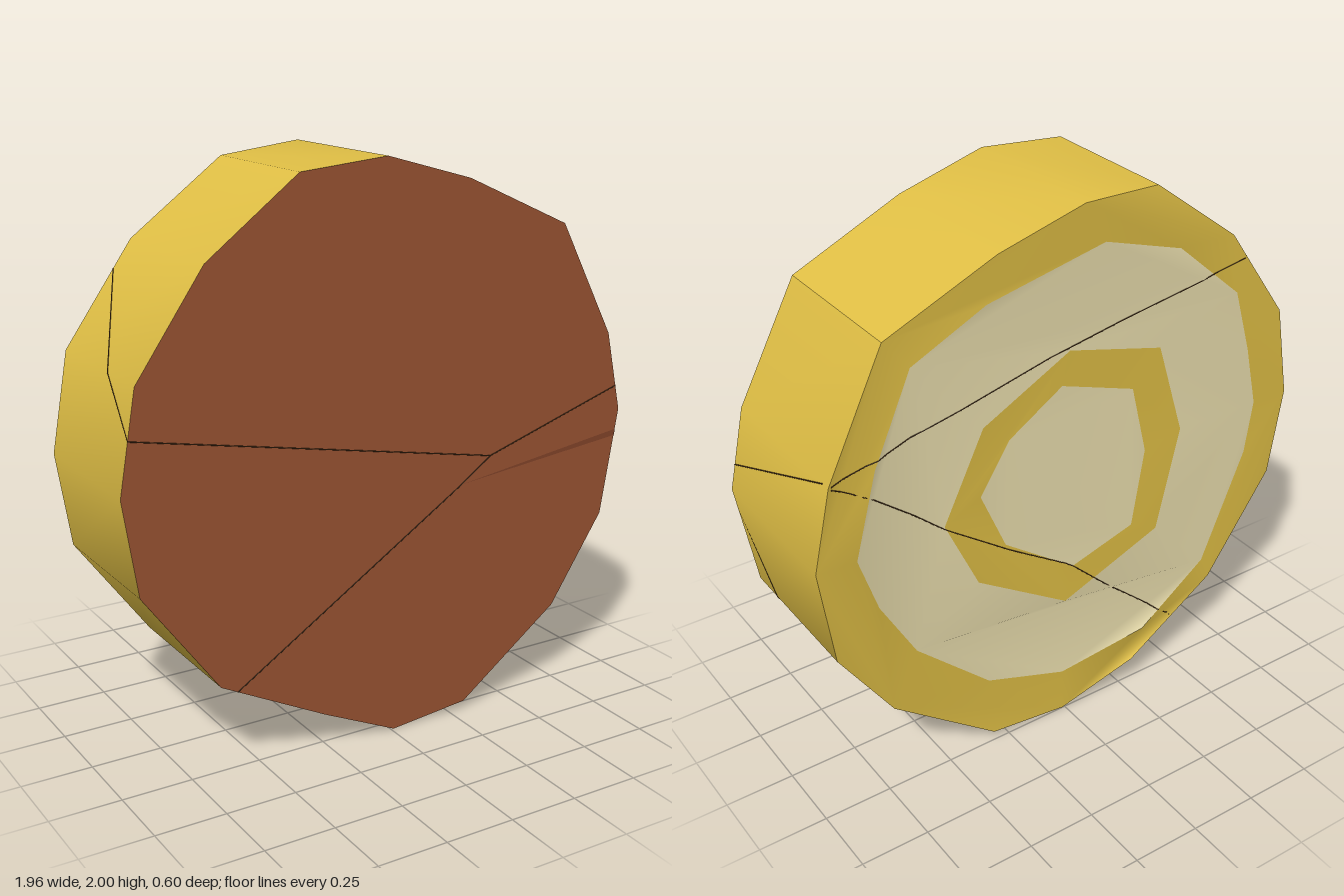
import * as THREE from 'three';
import { toCreasedNormals } from 'three/addons/utils/BufferGeometryUtils.js';

const FRONT = 0.3;

// Outer outline with the depth of the uneven back edge: x, y, back z
const outline = [
  [-0.03, 2.0, -0.277], [0.29, 1.91, -0.27], [0.69, 1.73, -0.258], [0.91, 1.32, -0.285],
  [0.975, 1.03, -0.285], [0.91, 0.64, -0.25], [0.7, 0.32, -0.225], [0.31, 0.03, -0.245],
  [0.01, 0.0, -0.25], [-0.27, 0.13, -0.297], [-0.66, 0.33, -0.26], [-0.93, 0.7, -0.25],
  [-0.98, 1.03, -0.25], [-0.92, 1.375, -0.247], [-0.68, 1.72, -0.24], [-0.35, 1.97, -0.23],
];

// Boundaries of the bands on the back, from the outside in
const bandEdges = [
  outline,
  [[-0.12, 1.845], [0.33, 1.755], [0.6, 1.62], [0.75, 1.32], [0.83, 1.02], [0.75, 0.79],
    [0.61, 0.54], [0.33, 0.28], [0.02, 0.18], [-0.32, 0.25], [-0.62, 0.42], [-0.8, 0.83],
    [-0.83, 1.03], [-0.78, 1.26], [-0.71, 1.5], [-0.45, 1.73]],
  [[0.01, 1.5], [0.35, 1.33], [0.5, 1.01], [0.37, 0.73], [0.02, 0.51], [-0.375, 0.67],
    [-0.48, 1.04], [-0.375, 1.39]],
  [[0.04, 1.38], [0.25, 1.25], [0.36, 1.07], [0.26, 0.84], [-0.01, 0.65], [-0.26, 0.73],
    [-0.32, 1.01], [-0.26, 1.27]],
];

// Depth of the back, blended from the rim and a few inner points
const depthPoints = [...outline, [-0.2, 0.6, -0.278], [0, 1, -0.26], [0.24, 0.81, -0.255],
  [0.4, 1.4, -0.268], [-0.5, 1.4, -0.25]];
function backZ(x, y) {
  let sum = 0, weight = 0;
  for (const [px, py, pz] of depthPoints) {
    const w = 1 / (((x - px) ** 2 + (y - py) ** 2) ** 1.5 + 1e-9);
    sum += w * pz;
    weight += w;
  }
  return sum / weight;
}

const vectors = (points) => points.map(([x, y]) => new THREE.Vector2(x, y));

// One back band, turned to face -z
function backBand(i) {
  const shape = new THREE.Shape(vectors(bandEdges[i]));
  if (bandEdges[i + 1]) shape.holes.push(new THREE.Path(vectors(bandEdges[i + 1])));
  const geometry = new THREE.ShapeGeometry(shape);
  const pos = geometry.attributes.position;
  for (let k = 0; k < pos.count; k++) pos.setZ(k, backZ(pos.getX(k), pos.getY(k)));
  geometry.index.array.reverse();
  geometry.computeVertexNormals();
  return geometry;
}

// Side wall joining the flat front to the uneven back, facing outwards
function rimGeometry() {
  const position = [], index = [], n = outline.length;
  outline.forEach(([x, y, z], i) => {
    const j = (i + 1) % n;
    position.push(x, y, FRONT, x, y, z);
    index.push(2 * i, 2 * j, 2 * i + 1, 2 * j, 2 * j + 1, 2 * i + 1);
  });
  const geometry = new THREE.BufferGeometry();
  geometry.setAttribute('position', new THREE.Float32BufferAttribute(position, 3));
  geometry.setIndex(index);
  return toCreasedNormals(geometry, Math.PI / 6);
}

export function createModel() {
  const model = new THREE.Group();
  const paint = (color) => new THREE.MeshStandardMaterial({ color });
  const brown = paint(0x9c5533), darkBrown = paint(0x84452a);
  const yellow = paint(0xe0bf45), tan = paint(0xebdfae), dark = paint(0x4a3018);
  const add = (name, geometry, material) => {
    const mesh = new THREE.Mesh(geometry, material);
    mesh.name = name;
    model.add(mesh);
    return mesh;
  };
  const flat = (points, z) => new THREE.ShapeGeometry(new THREE.Shape(vectors(points))).translate(0, 0, z);

  // Flat front with a narrow split, side wall and the banded back
  add('frontFace', flat(outline, FRONT), brown);
  add('frontSplit', flat([[0.28, 0.86], [0.959, 0.932], [0.963, 0.955]], FRONT + 0.001), darkBrown);
  add('rim', rimGeometry(), yellow);
  const bands = ['outerBand', 'wideRing', 'innerBand', 'centre'].map((name, i) =>
    add(name, backBand(i), i % 2 ? tan : yellow));

  // Hairline cracks made of thin rods half sunk in the surface
  const crack = (name, points) => {
    const group = new THREE.Group();
    group.name = name;
    for (let i = 1; i < points.length; i++) {
      const a = new THREE.Vector3(...points[i - 1]), b = new THREE.Vector3(...points[i]);
      const rod = new THREE.Mesh(new THREE.CylinderGeometry(0.002, 0.002, a.distanceTo(b), 5), dark);
      rod.position.copy(a).lerp(b, 0.5);
      rod.quaternion.setFromUnitVectors(new THREE.Vector3(0, 1, 0), b.sub(a).normalize());
      group.add(rod);
    }
    model.add(group);
  };
  const F = FRONT;
  crack('frontUpperCrack', [[-0.948, 1.21, F], [0.4, 0.945, F], [0.954, 1.12, F]]);
  crack('frontLowerCrack', [[0.4, 0.945, F], [0.28, 0.86, F], [-0.6, 0.299, F]]);
  crack('rimUpperCrackLeft', [[0.955, 1.12, F], [0.91, 1.32, -0.25]]);
  crack('rimUpperCrackRight', [[-0.948, 1.21, F], [-0.92, 1.375, 0.1], [-0.745, 1.627, -0.24]]);
  crack('rimLowerCrack', [[0.96, 0.95, F], [0.91, 0.64, 0.17], [0.7, 0.32, 0.08], [0.31, 0.03, 0],
    [0.01, 0.001, -0.02], [-0.27, 0.13, 0.05], [-0.56, 0.279, 0.15]]);
  crack('rimBottomCrack', [[-0.6, 0.3, F], [-0.56, 0.279, 0.15], [-0.47, 0.233, -0.27]]);

  // Back cracks are dropped onto the uneven surface
  const ray = new THREE.Raycaster();
  const backCrack = (name, points) => {
    const path = new THREE.CurvePath();
    vectors(points).forEach((p, i, all) => i && path.add(new THREE.LineCurve(all[i - 1], p)));
    const onSurface = [];
    for (let i = 0; i <= 40; i++) {
      const p = path.getPointAt(i / 40);
      ray.set(new THREE.Vector3(p.x, p.y, -1), new THREE.Vector3(0, 0, 1));
      const hit = ray.intersectObjects(bands)[0];
      if (hit) onSurface.push(hit.point.toArray());
    }
    crack(name, onSurface);
  };
  backCrack('backUpperCrack', [[-0.74, 1.62], [0.08, 1.5], [0.74, 1.35], [0.9, 1.32]]);
  backCrack('backLowerCrack', [[0.9, 1.31], [0.77, 1.23], [0.5, 1.0], [0.24, 0.81], [0, 0.66],
    [-0.21, 0.46], [-0.465, 0.24]]);
  return model;
}
